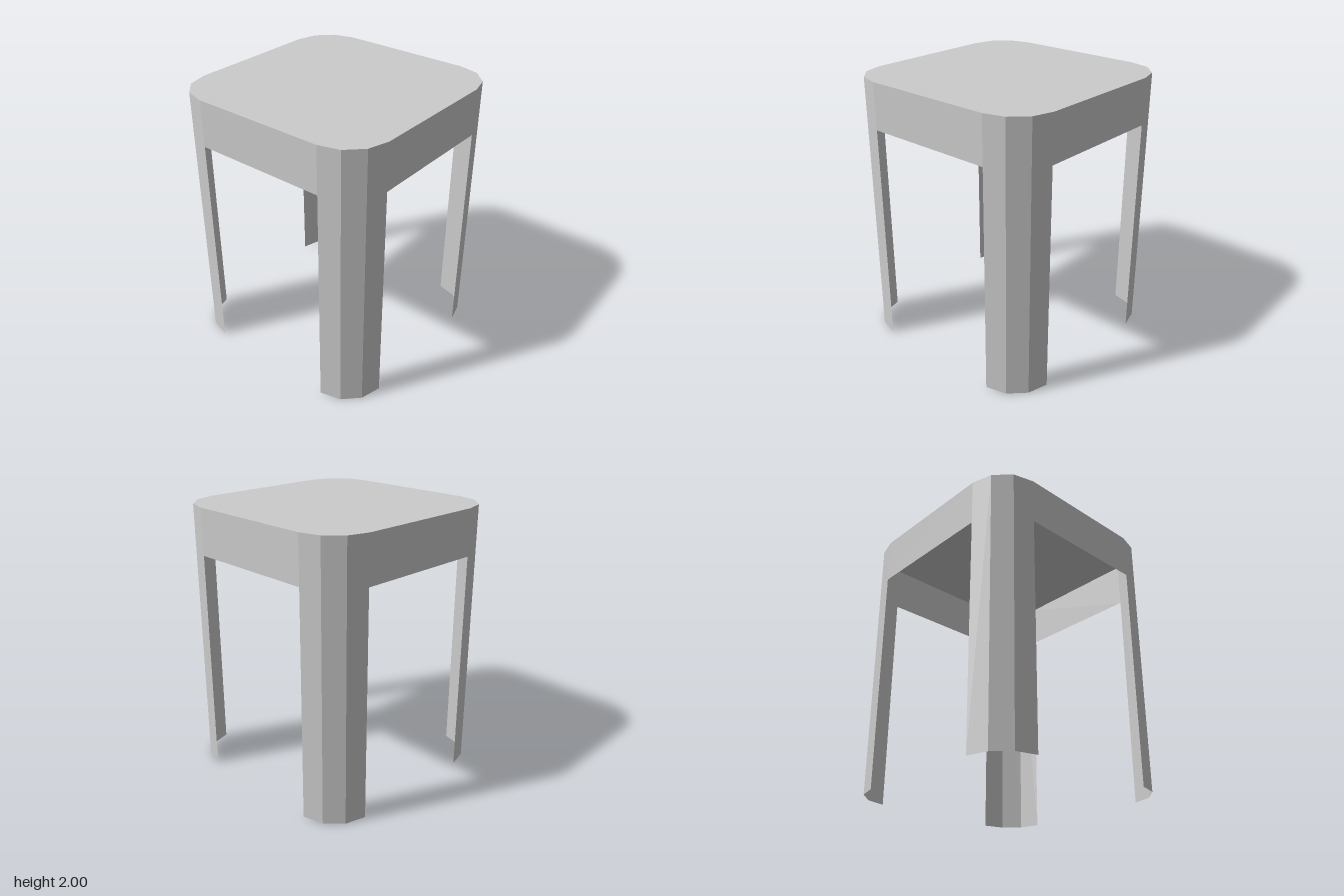
import * as THREE from 'three';

const HEIGHT = 2, HALF = 0.8, RADIUS = 0.3, APRON = 0.34, CORNER_SEGMENTS = 3;
const INNER = HALF - RADIUS;

export function createModel() {
  const stool = new THREE.Group();
  stool.name = 'stool';
  const material = new THREE.MeshStandardMaterial({
    color: 0xcccccc, flatShading: true, side: THREE.DoubleSide,
  });
  const add = (parent, name, geometry) => {
    const mesh = new THREE.Mesh(geometry, material);
    mesh.name = name;
    parent.add(mesh);
    return mesh;
  };

  // Seat: thin sheet with faceted round corners
  const outline = [];
  for (let corner = 0; corner < 4; corner++) {
    const middle = Math.PI / 4 + corner * Math.PI / 2;
    const cx = Math.sign(Math.cos(middle)) * INNER;
    const cy = Math.sign(Math.sin(middle)) * INNER;
    for (let i = 0; i <= CORNER_SEGMENTS; i++) {
      const a = (corner + i / CORNER_SEGMENTS) * Math.PI / 2;
      outline.push(new THREE.Vector2(cx + RADIUS * Math.cos(a), cy + RADIUS * Math.sin(a)));
    }
  }
  const seatGeometry = new THREE.ShapeGeometry(new THREE.Shape(outline));
  seatGeometry.rotateX(-Math.PI / 2);
  add(stool, 'seat', seatGeometry).position.y = HEIGHT;

  // Legs: open quarter-round shells running from floor to seat
  const legGeometry = new THREE.CylinderGeometry(
    RADIUS, RADIUS, HEIGHT, CORNER_SEGMENTS, 1, true, 0, Math.PI / 2);
  legGeometry.translate(INNER, HEIGHT / 2, INNER);

  // Aprons: flat panels between the legs, below the seat edge
  const apronGeometry = new THREE.PlaneGeometry(INNER * 2, APRON);
  apronGeometry.translate(0, HEIGHT - APRON / 2, HALF);

  const legNames = ['frontLeftLeg', 'backLeftLeg', 'backRightLeg', 'frontRightLeg'];
  const apronNames = ['frontApron', 'leftApron', 'backApron', 'rightApron'];
  for (let i = 0; i < 4; i++) {
    add(stool, legNames[i], legGeometry).rotation.y = i * Math.PI / 2;
    add(stool, apronNames[i], apronGeometry).rotation.y = i * Math.PI / 2;
  }
  return stool;
}
